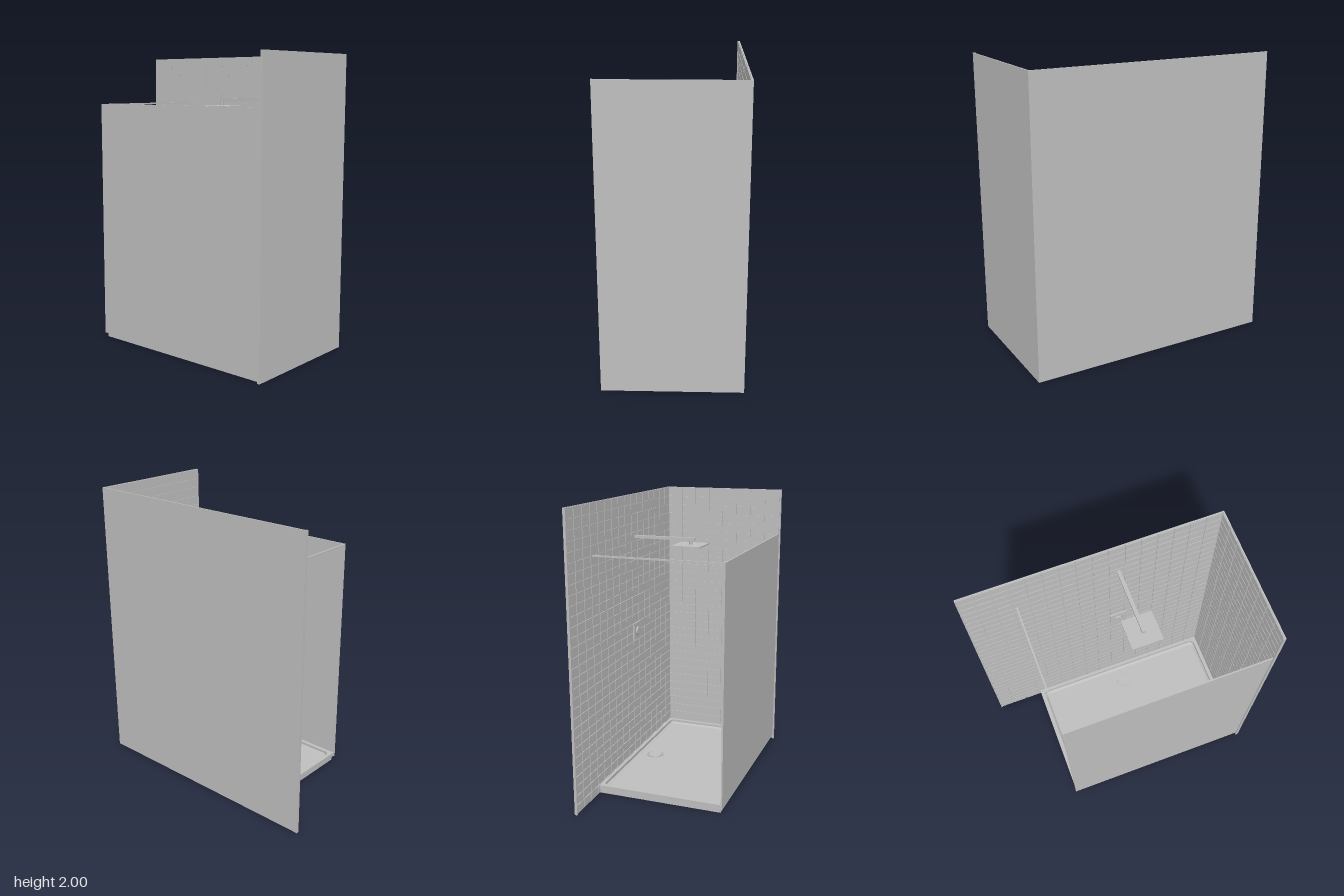
import * as THREE from 'three';
import { mergeGeometries } from 'three/addons/utils/BufferGeometryUtils.js';

const gray = new THREE.MeshStandardMaterial({ color: 0xbfbfbf });
gray.name = 'plain gray';

function add(parent, name, geometry) {
  const mesh = new THREE.Mesh(geometry, gray);
  mesh.name = name;
  parent.add(mesh);
  return mesh;
}

// box given by its min and max corners
function span(x0, x1, y0, y1, z0, z1) {
  return new THREE.BoxGeometry(x1 - x0, y1 - y0, z1 - z0)
    .translate((x0 + x1) / 2, (y0 + y1) / 2, (z0 + z1) / 2);
}

// outline of a rounded rectangle in the xz plane
function roundedOutline(x0, x1, z0, z1, r) {
  const corners = [[x1 - r, z1 - r], [x0 + r, z1 - r], [x0 + r, z0 + r], [x1 - r, z0 + r]];
  const pts = [];
  corners.forEach(([cx, cz], i) => {
    for (let k = 0; k <= 6; k++) {
      const a = (i + k / 6) * Math.PI / 2;
      pts.push(new THREE.Vector2(cx + r * Math.cos(a), cz + r * Math.sin(a)));
    }
  });
  return pts;
}

// tiles covering a width by a height, with grooves between them
function tileGrid(width, y0, y1, columns, rows, depth) {
  const gap = 0.007, w = width / columns, h = (y1 - y0) / rows, list = [];
  for (let c = 0; c < columns; c++) {
    for (let r = 0; r < rows; r++) {
      list.push(new THREE.BoxGeometry(w - gap, h - gap, depth)
        .translate((c + 0.5) * w, y0 + (r + 0.5) * h, depth / 2));
    }
  }
  return mergeGeometries(list);
}

function buildWalls() {
  const walls = new THREE.Group();
  walls.name = 'walls';
  add(walls, 'backWall', span(-0.868, 0.865, 0, 2, -0.46, -0.451));
  add(walls, 'sideWall', span(0.856, 0.865, 0, 2, -0.451, 0.455));
  add(walls, 'backTiles', tileGrid(1.72, 0, 2, 16, 30, 0.005)).position.set(-0.868, 0, -0.451);
  const side = add(walls, 'sideTiles', tileGrid(0.893, 0.067, 2, 8, 29, 0.005));
  side.rotation.y = -Math.PI / 2;
  side.position.set(0.856, 0, -0.446);
  // trims on the free wall edges
  add(walls, 'backWallTrim', span(-0.87, -0.86, 0, 2, -0.46, -0.442));
  add(walls, 'sideWallTrim', span(0.846, 0.865, 0, 2, 0.447, 0.456));
  return walls;
}

function buildTray() {
  const tray = new THREE.Group();
  tray.name = 'showerTray';
  add(tray, 'trayBase', span(-0.515, 0.85, 0, 0.03, -0.451, 0.43));

  // rim with a rounded opening
  const rim = new THREE.Shape([[-0.525, -0.446], [0.852, -0.446], [0.852, 0.443], [-0.525, 0.443]]
    .map(([x, z]) => new THREE.Vector2(x, z)));
  rim.holes.push(new THREE.Path(roundedOutline(-0.5, 0.825, -0.425, 0.41, 0.035)));
  const rimGeometry = new THREE.ExtrudeGeometry(rim, { depth: 0.03, bevelEnabled: false });
  add(tray, 'trayRim', rimGeometry.rotateX(Math.PI / 2).translate(0, 0.06, 0));

  // sloping lip inside the opening, lofted between two outlines
  const outer = roundedOutline(-0.495, 0.82, -0.42, 0.405, 0.035);
  const inner = roundedOutline(-0.48, 0.808, -0.402, 0.394, 0.03);
  const pos = [];
  outer.forEach((a, i) => {
    const j = (i + 1) % outer.length, b = outer[j], c = inner[i], d = inner[j];
    const A = [a.x, 0.045, a.y], B = [b.x, 0.045, b.y], C = [c.x, 0.032, c.y], D = [d.x, 0.032, d.y];
    pos.push(...A, ...C, ...B, ...B, ...C, ...D);
  });
  const lip = new THREE.BufferGeometry();
  lip.setAttribute('position', new THREE.Float32BufferAttribute(pos, 3));
  // winding makes the faces look upward
  lip.computeVertexNormals();
  if (lip.attributes.normal.getY(0) < 0) {
    const p = lip.attributes.position.array;
    for (let i = 0; i < p.length; i += 9) {
      for (let k = 0; k < 3; k++) [p[i + 3 + k], p[i + 6 + k]] = [p[i + 6 + k], p[i + 3 + k]];
    }
    lip.computeVertexNormals();
  }
  add(tray, 'basinLip', lip);

  // drain cover with a ring of studs
  add(tray, 'drainCover', new THREE.CylinderGeometry(0.05, 0.05, 0.005, 32).translate(0.16, 0.0325, -0.305));
  const studs = [];
  for (let i = 0; i < 24; i++) {
    const a = i / 24 * Math.PI * 2;
    studs.push(new THREE.CylinderGeometry(0.005, 0.005, 0.004, 8)
      .translate(0.16 + 0.06 * Math.cos(a), 0.032, -0.305 + 0.06 * Math.sin(a)));
  }
  add(tray, 'drainStuds', mergeGeometries(studs));
  return tray;
}

function buildShower() {
  const shower = new THREE.Group();
  shower.name = 'showerFittings';
  add(shower, 'showerArm', span(0.153, 0.177, 1.688, 1.708, -0.446, 0.008));
  add(shower, 'headStem', new THREE.CylinderGeometry(0.011, 0.011, 0.03, 16).translate(0.165, 1.675, -0.022));
  add(shower, 'showerHead', span(0.06, 0.27, 1.652, 1.662, -0.13, 0.08));
  // mixer on the back wall
  add(shower, 'mixerPlate', span(0.1, 0.225, 0.94, 1.065, -0.446, -0.437));
  add(shower, 'mixerKnob', new THREE.CylinderGeometry(0.032, 0.032, 0.012, 24)
    .rotateX(Math.PI / 2).translate(0.163, 1.0, -0.431));
  return shower;
}

export function createModel() {
  const model = new THREE.Group();
  model.name = 'showerCubicle';
  model.add(buildWalls(), buildTray(), buildShower());
  // front screen and the bar bracing it to the back wall
  add(model, 'screenPanel', span(-0.53, 0.856, 0.03, 1.67, 0.436, 0.446));
  add(model, 'braceBar', span(-0.53, -0.519, 1.658, 1.669, -0.446, 0.436));
  return model;
}
